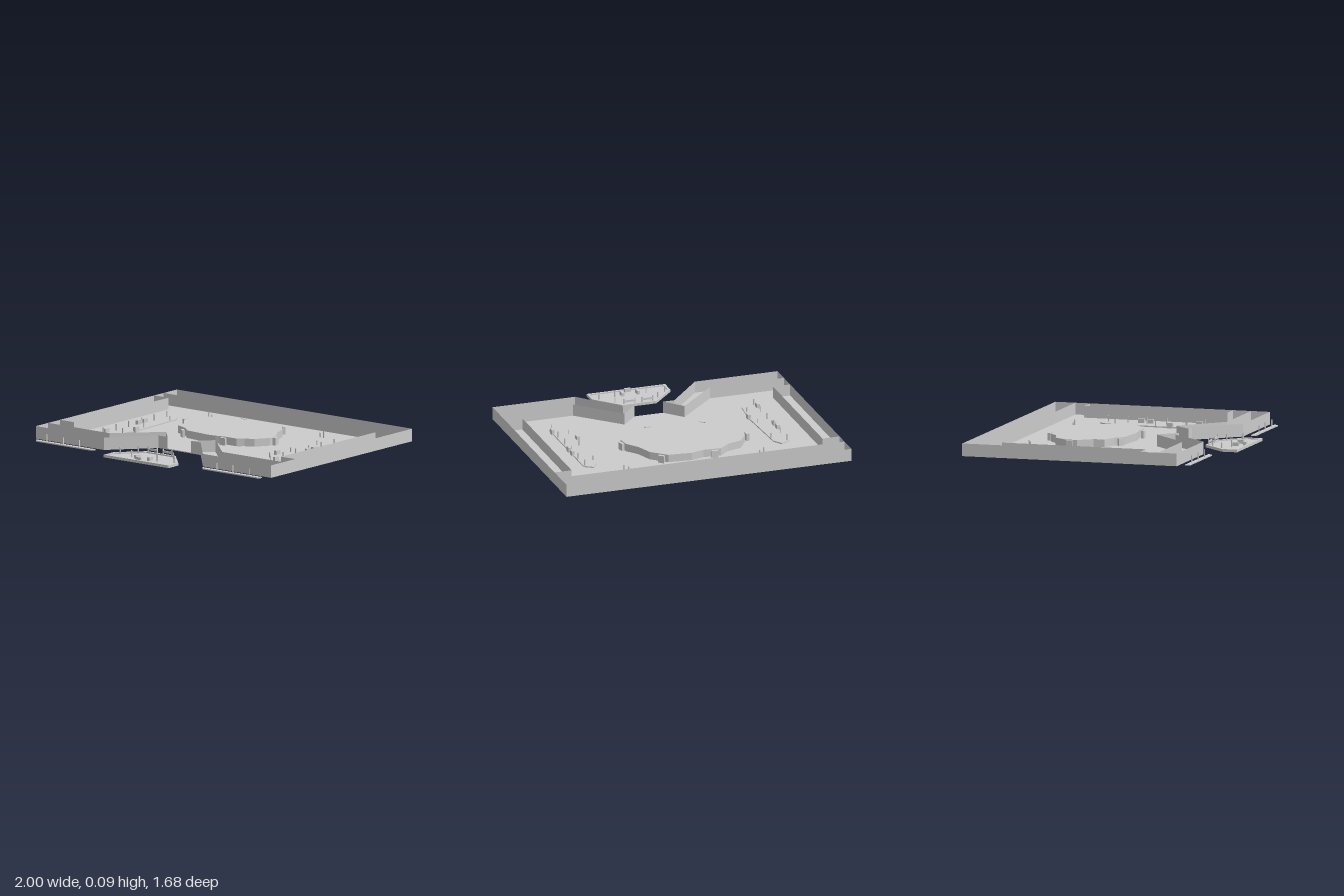
import * as THREE from 'three';

const WALL_H = 0.085, FLOOR_T = 0.006;

export function createModel() {
  const model = new THREE.Group();
  const solid = new THREE.MeshStandardMaterial({ color: 0xcccccc, flatShading: true });
  const sheet = new THREE.MeshStandardMaterial({ color: 0xcccccc, flatShading: true, side: THREE.DoubleSide });

  function add(name, geometry, material = solid) {
    const mesh = new THREE.Mesh(geometry, material);
    mesh.name = name;
    model.add(mesh);
    return mesh;
  }
  // horizontal slab from an [x, z] outline, optionally with a hole
  function slab(name, points, y, height, hole) {
    const toVec = ([x, z]) => new THREE.Vector2(x, -z);
    const shape = new THREE.Shape(points.map(toVec));
    if (hole) shape.holes.push(new THREE.Path(hole.map(toVec)));
    const geo = new THREE.ExtrudeGeometry(shape, { depth: height, bevelEnabled: false });
    geo.rotateX(-Math.PI / 2);
    geo.translate(0, y, 0);
    return add(name, geo);
  }
  // upright thin sheets along an [x, z] path
  function wall(name, path) {
    const pos = [], index = [];
    path.forEach(([x, z], i) => {
      pos.push(x, 0, z, x, WALL_H, z);
      if (i) index.push(2 * i - 2, 2 * i, 2 * i - 1, 2 * i, 2 * i + 1, 2 * i - 1);
    });
    const geo = new THREE.BufferGeometry();
    geo.setAttribute('position', new THREE.Float32BufferAttribute(pos, 3));
    geo.setIndex(index);
    const flat = geo.toNonIndexed();
    flat.computeVertexNormals();
    add(name, flat, sheet);
  }
  function block(name, x, z, w, d, y, h, turn = 0) {
    const mesh = add(name, new THREE.BoxGeometry(w, h, d));
    mesh.position.set(x, y + h / 2, z);
    mesh.rotation.y = turn;
  }
  const post = (x, z, y, h) => block('post', x, z, 0.007, 0.007, y, h);
  const flip = (s, path) => path.map(([x, z]) => [s * x, z]);

  // floor with the front notch
  slab('floor', [[-1, -0.84], [1, -0.84], [1, 0.655], [0.42, 0.655], [0.18, 0.38],
    [-0.18, 0.38], [-0.42, 0.655], [-1, 0.655]], 0, FLOOR_T);

  // back walls
  wall('backWall', [[-1, -0.84], [1, -0.84]]);
  wall('innerBackWall', [[-1, -0.7], [1, -0.7]]);

  for (const s of [-1, 1]) {
    // side, front and entrance walls
    wall('outerWall', flip(s, [[1, -0.84], [1, 0.655], [0.42, 0.655], [0.18, 0.38], [0.1, 0.38]]));
    wall('innerFrontWall', flip(s, [[1, 0.525], [0.48, 0.525], [0.21, 0.26], [0.1, 0.38]]));
    wall('sideAlcove', flip(s, [[1, -0.6], [0.88, -0.6], [0.88, 0.4], [1, 0.4]]));

    // side display strip with posts and blocks
    slab('sideStrip', flip(s, [[0.72, 0.32], [0.62, 0.29], [0.6, 0.09], [0.62, -0.36], [0.66, -0.42], [0.72, -0.38]]),
      FLOOR_T, 0.008);
    for (let i = 0; i < 6; i++) post(s * 0.71, 0.3 - i * 0.135, FLOOR_T, 0.05);
    for (const z of [0.2, -0.02, -0.3]) post(s * 0.625, z, FLOOR_T, 0.04);
    for (const [x, z] of [[0.72, -0.15], [0.72, -0.085], [0.6, 0.09], [0.72, 0.255]])
      block('sideBlock', s * x, z, 0.02, 0.042, FLOOR_T, 0.035);

    // free-standing markers towards the back
    post(s * 0.49, -0.54, FLOOR_T, 0.045);
    post(s * 0.46, -0.54, FLOOR_T, 0.03);

    // detached strip in front of the wall
    slab('frontStrip', flip(s, [[0.455, 0.7], [0.96, 0.7], [0.94, 0.73], [0.475, 0.73]]), 0, 0.008);
    for (const x of [0.585, 0.72, 0.86]) post(s * x, 0.715, 0, 0.055);
  }

  // central island
  slab('centralIsland', [[-0.44, -0.3], [-0.38, -0.39], [-0.28, -0.42], [-0.21, -0.48], [-0.09, -0.47],
    [0, -0.495], [0.16, -0.48], [0.26, -0.39], [0.3, -0.28], [0.36, -0.2], [0.37, -0.12], [0.31, -0.03],
    [0.25, 0], [0.21, 0.035], [0.1, 0.035], [0.04, 0.05], [-0.03, 0.055], [-0.1, 0.045], [-0.21, 0.035],
    [-0.27, -0.02], [-0.36, -0.055], [-0.37, -0.13], [-0.44, -0.22]], 0, 0.058);
  for (const [x, z, turn] of [[-0.16, -0.5, -0.1], [0.205, -0.47, -0.75], [-0.465, -0.265, 1.57],
    [0.38, -0.165, -1.35], [-0.255, 0.025, -0.65], [0.115, 0.06, 0]])
    block('islandBlock', x, z, 0.044, 0.02, FLOOR_T, 0.05, turn);

  // entrance platform with raised rim
  const outline = [[-0.275, 0.84], [0.275, 0.84], [0.275, 0.735], [0.12, 0.57], [-0.12, 0.57], [-0.275, 0.735]];
  const inset = [[-0.258, 0.825], [0.258, 0.825], [0.258, 0.745], [0.112, 0.588], [-0.112, 0.588], [-0.258, 0.745]];
  slab('platform', outline, 0, 0.01);
  slab('platformRim', outline, 0.01, 0.008, inset);
  block('platformBench', 0, 0.81, 0.042, 0.018, 0.01, 0.024);
  for (const s of [-1, 1]) {
    block('platformBench', s * 0.055, 0.76, 0.02, 0.042, 0.01, 0.024);
    block('gate', s * 0.06, 0.585, 0.075, 0.008, 0.03, 0.014);
    for (const [x, z] of [[0.1, 0.585], [0.025, 0.585], [0.15, 0.63], [0.23, 0.72], [0.11, 0.75]])
      post(s * x, z, 0.01, 0.045);
  }
  return model;
}
